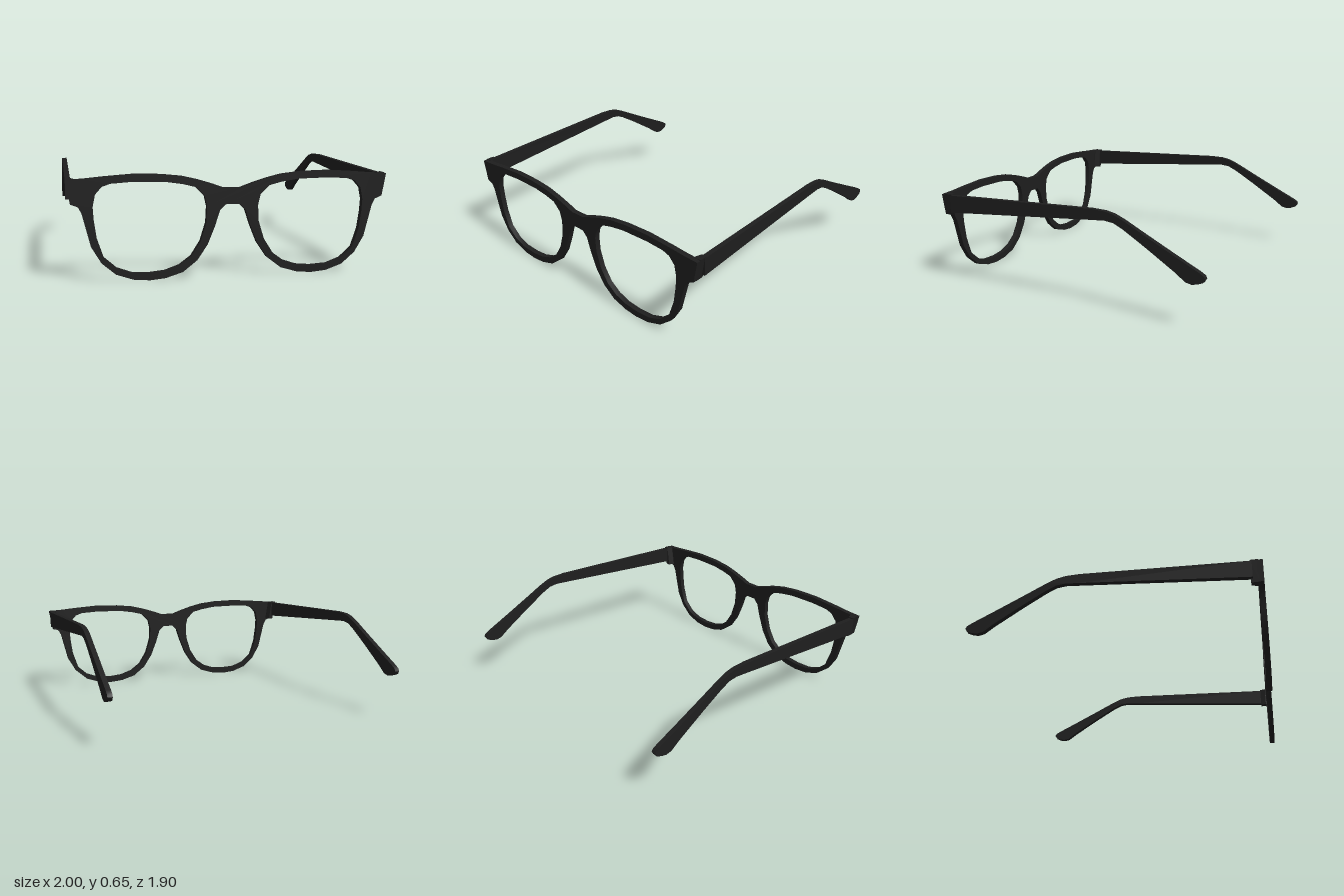
import * as THREE from 'three';
import { toCreasedNormals } from 'three/addons/utils/BufferGeometryUtils.js';

const toPoints = (list) => list.map(([x, y]) => new THREE.Vector2(x, y));

// Extrude an outline; holes must run opposite to the outline
function plate(outline, holes, depth) {
  const shape = new THREE.Shape(toPoints(outline));
  holes.forEach((h) => shape.holes.push(new THREE.Path(toPoints(h))));
  const geometry = new THREE.ExtrudeGeometry(shape, { depth, bevelEnabled: false });
  return toCreasedNormals(geometry, 0.85);
}

const mirror = (list) => list.map(([x, y]) => [-x, y]).reverse();

export function createModel() {
  const model = new THREE.Group();
  model.name = 'glasses';
  const black = new THREE.MeshStandardMaterial({ color: 0x1e1e1e });
  black.name = 'black plastic';

  const add = (name, geometry) => {
    const mesh = new THREE.Mesh(geometry, black);
    mesh.name = name;
    model.add(mesh);
  };

  // Front frame: half outline from bridge top, round the rim, to bridge underside
  const half = [
    [0.05, 0.55], [0.12, 0.575], [0.21, 0.603], [0.31, 0.627], [0.44, 0.641],
    [0.615, 0.645], [0.79, 0.633], [0.9, 0.623], [1, 0.618], [0.975, 0.476],
    [0.93, 0.458], [0.91, 0.42], [0.885, 0.32], [0.86, 0.22],
    [0.8, 0.118], [0.715, 0.045], [0.61, 0.009], [0.51, 0], [0.415, 0.009],
    [0.31, 0.041], [0.22, 0.111], [0.155, 0.208], [0.11, 0.32], [0.08, 0.413],
    [0.043, 0.45],
  ];
  const lens = [
    [0.417, 0.596], [0.31, 0.58], [0.23, 0.56], [0.175, 0.505], [0.16, 0.44],
    [0.165, 0.34], [0.2, 0.227], [0.257, 0.137], [0.33, 0.083], [0.417, 0.053],
    [0.51, 0.044], [0.62, 0.05], [0.71, 0.083], [0.785, 0.15], [0.825, 0.27],
    [0.84, 0.377], [0.845, 0.457], [0.83, 0.53], [0.79, 0.575], [0.74, 0.592],
    [0.615, 0.6],
  ];
  const frame = plate([...half, ...mirror(half)], [lens, mirror(lens)], 0.036);
  frame.translate(0, 0, 0.912);
  add('frontFrame', frame);

  // Temple side profile in z and y, curving down to the rounded ear tip
  const temple = [
    [0.88, 0.615], [-0.205, 0.652], [-0.3, 0.648], [-0.36, 0.635],
    [-0.425, 0.607], [-0.575, 0.53], [-0.75, 0.442], [-0.91, 0.363],
    [-0.94, 0.345], [-0.948, 0.328], [-0.936, 0.307], [-0.9, 0.292],
    [-0.865, 0.285], [-0.825, 0.294], [-0.765, 0.339], [-0.575, 0.461],
    [-0.425, 0.552], [-0.36, 0.583], [-0.3, 0.591], [-0.205, 0.584],
    [0.88, 0.498],
  ];
  for (const side of [1, -1]) {
    const label = side > 0 ? 'left' : 'right';

    const arm = plate(temple, [], 0.032);
    arm.rotateY(-Math.PI / 2);
    arm.translate(side > 0 ? 1 : -0.968, 0, 0);
    add(label + 'Temple', arm);

    // Tapered hinge block joining frame and temple, leaning in with the frame's end
    const wedge = [[1, 0.92], [0.953, 0.92], [0.953, 0.907], [0.967, 0.868], [1, 0.868]];
    const hinge = plate(wedge.map(([x, z]) => [x * side, z]), [], 0.148);
    hinge.rotateX(Math.PI / 2);
    hinge.translate(0, 0.622, 0);
    const p = hinge.attributes.position;
    for (let i = 0; i < p.count; i++) {
      if (p.getY(i) < 0.5) p.setX(i, p.getX(i) - side * 0.025);
    }
    hinge.computeVertexNormals();
    add(label + 'Hinge', hinge);
  }
  return model;
}
